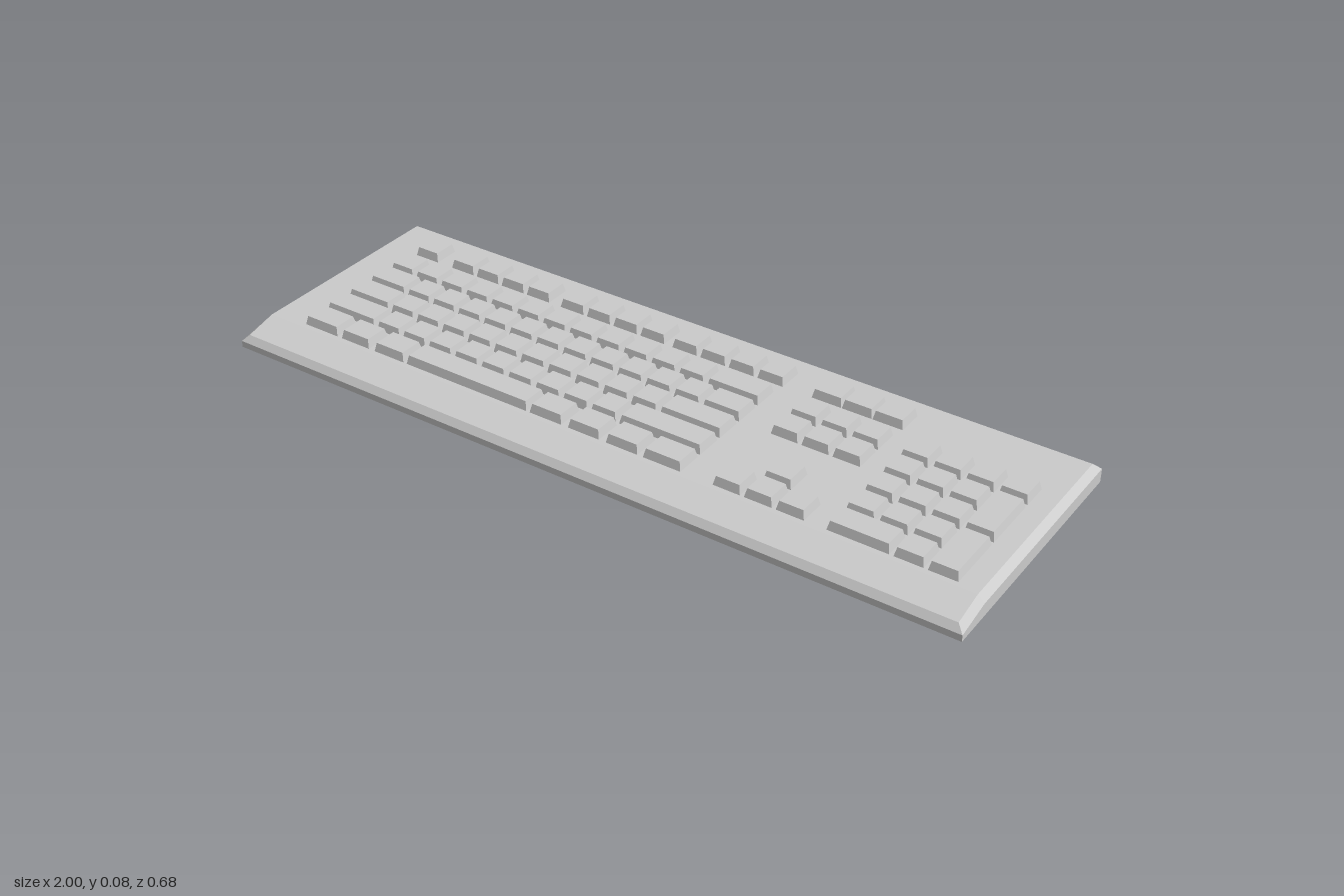
import * as THREE from 'three';

const MAT = new THREE.MeshStandardMaterial({ color: 0xcccccc, flatShading: true });
const U = 0.0815;          // key pitch
const GAP = 0.0105;        // space between keys
const DECK = 0.053, KEY_TOP = 0.076, TAPER = 0.005;
const ROWS = [-0.2325, -0.131, -0.0495, 0.032, 0.1135, 0.194]; // row centres, back to front

// Bevelled case lofted through three outlines: floor, side edge and deck
function makeCase() {
  const ring = (x, [zf, yf], [zs, ys], [zb, yb]) => [
    [x, yf, zf], [x, ys, zs], [x, yb, zb], [-x, yb, zb], [-x, ys, zs], [-x, yf, zf],
  ];
  const rings = [
    ring(1, [0.338, 0], [0.244, 0], [-0.338, 0]),
    ring(1, [0.338, 0.017], [0.244, 0.036], [-0.338, 0.036]),
    ring(0.983, [0.325, 0.034], [0.243, DECK], [-0.32, DECK]),
  ];
  const index = [];
  const quad = (a, b, c, d) => index.push(a, b, c, a, c, d);
  for (let r = 0; r < 2; r++) {
    for (let i = 0; i < 6; i++) {
      const j = (i + 1) % 6;
      quad(r * 6 + i, r * 6 + j, r * 6 + 6 + j, r * 6 + 6 + i);
    }
  }
  quad(12, 13, 16, 17); // sloping palm edge
  quad(13, 14, 15, 16); // flat deck
  quad(5, 4, 1, 0);     // underside
  quad(4, 3, 2, 1);
  let geo = new THREE.BufferGeometry();
  geo.setAttribute('position', new THREE.Float32BufferAttribute(rings.flat(2), 3));
  geo.setIndex(index);
  geo = geo.toNonIndexed();
  geo.computeVertexNormals();
  const mesh = new THREE.Mesh(geo, MAT);
  mesh.name = 'case';
  return mesh;
}

// Tapered keycap: a box whose upper corners are pulled inward
function makeKey(x0, zc, w, d) {
  const h = KEY_TOP - DECK;
  const geo = new THREE.BoxGeometry(w, h, d);
  const p = geo.attributes.position;
  for (let i = 0; i < p.count; i++) {
    if (p.getY(i) > 0) {
      p.setX(i, p.getX(i) - Math.sign(p.getX(i)) * TAPER);
      p.setZ(i, p.getZ(i) - Math.sign(p.getZ(i)) * TAPER);
    }
  }
  geo.computeVertexNormals();
  const mesh = new THREE.Mesh(geo, MAT);
  mesh.position.set(x0 + w / 2, DECK + h / 2, zc);
  mesh.name = 'key';
  return mesh;
}

// A block of keys; each entry is [row, start, width, rows spanned, gap], in key units
function makeBlock(name, x0, keys) {
  const group = new THREE.Group();
  group.name = name;
  for (const [row, start, width = 1, span = 1, gap = GAP] of keys) {
    const zc = (ROWS[row] + ROWS[row + span - 1]) / 2;
    group.add(makeKey(x0 + start * U, zc, width * U - gap, span * U - GAP));
  }
  return group;
}

// Consecutive single keys
const run = (row, start, n) => Array.from({ length: n }, (_, i) => [row, start + i]);

export function createModel() {
  const model = new THREE.Group();
  model.name = 'keyboard';
  model.add(makeCase());

  // Back row of spaced key clusters
  model.add(makeBlock('backRowKeys', -0.88, [
    [0, 0], ...run(0, 1.46, 4), ...run(0, 5.78, 4), ...run(0, 9.95, 4),
  ]));

  // Letters, digits, modifiers and space bar
  model.add(makeBlock('mainKeys', -0.88, [
    ...run(1, 0, 12), [1, 12, 1.87],
    [2, 0, 1.5], ...run(2, 1.5, 11), [2, 12.5, 1.37],
    [3, 0, 1.7], ...run(3, 1.7, 10), [3, 11.7, 2.17],
    [4, 0, 2], ...run(4, 2, 9), [4, 11, 2.87],
    [5, 0, 1.4], [5, 1.45, 1.2], [5, 2.75, 1.25], [5, 4, 4.58],
    [5, 8.57, 1.25], [5, 9.93, 1.2], [5, 11.24, 1.2], [5, 12.5, 1.37],
  ]));

  // Navigation keys and arrows; the back three sit edge to edge
  model.add(makeBlock('navigationKeys', 0.326, [
    ...[0, 1, 2].map((i) => [0, i, 1, 1, 0.002]),
    ...run(1, 0, 3), ...run(2, 0, 3), [4, 1], ...run(5, 0, 3),
  ]));

  // Number pad with two double-height keys
  model.add(makeBlock('numberPad', 0.616, [
    ...run(1, 0, 4), ...run(2, 0, 3), ...run(3, 0, 3), ...run(4, 0, 3),
    [2, 3, 1, 2], [4, 3, 1, 2], [5, 0, 2], [5, 2],
  ]));
  return model;
}
